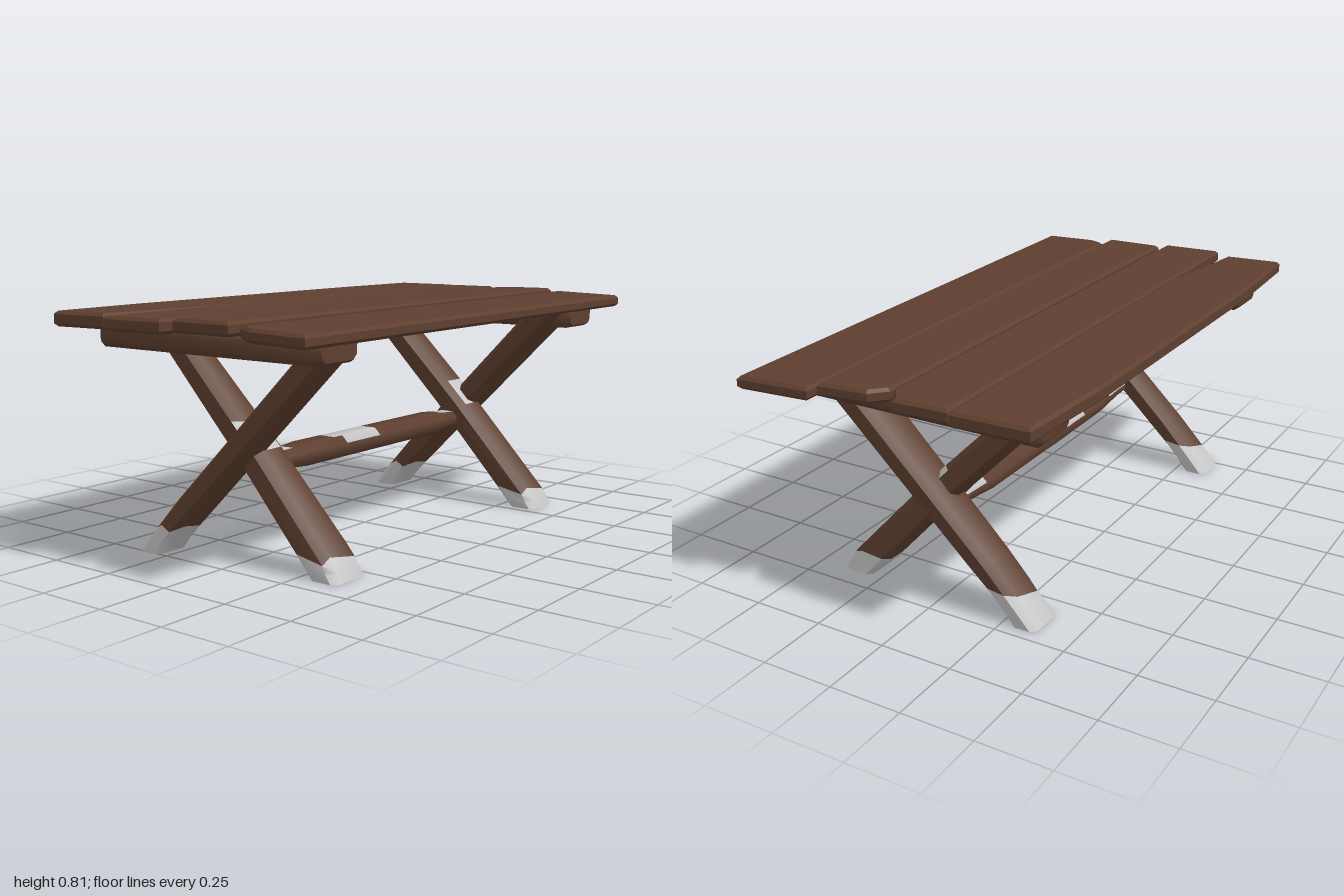
import * as THREE from 'three';
import { toCreasedNormals } from 'three/addons/utils/BufferGeometryUtils.js';

const wood = new THREE.MeshStandardMaterial({ color: 0x5e3f2f });
wood.name = 'dark wood';
const snow = new THREE.MeshStandardMaterial({ color: 0xc4c4c4 });
snow.name = 'snow grey';

const lerp = THREE.MathUtils.lerp;

// Chamfered rectangle, eight points; side 0 is +u, side 2 +v, side 4 -u, side 6 -v
const octagon = (u0, u1, v0, v1, c) => [
  [u1, v0 + c], [u1, v1 - c], [u1 - c, v1], [u0 + c, v1],
  [u0, v1 - c], [u0, v0 + c], [u0 + c, v0], [u1 - c, v0],
];

// Skin over a list of rings, closed at both ends; isSnow(row, side) picks the colour
function loft(name, rings, isSnow, capSnow = false) {
  const tris = [[], []];
  const n = rings[0].length;
  for (let i = 0; i < rings.length - 1; i++) {
    for (let j = 0; j < n; j++) {
      const k = (j + 1) % n, [a, b] = [rings[i], rings[i + 1]];
      tris[isSnow(i, j) ? 1 : 0].push([a[j], a[k], b[k]], [a[j], b[k], b[j]]);
    }
  }
  const last = rings[rings.length - 1];
  for (let j = 1; j < n - 1; j++) {
    tris[capSnow ? 1 : 0].push([rings[0][0], rings[0][j + 1], rings[0][j]]);
    tris[0].push([last[0], last[j], last[j + 1]]);
  }
  // Turn every face outwards
  const all = [...tris[0], ...tris[1]];
  const volume = all.reduce((s, [a, b, c]) => s + a.dot(b.clone().cross(c)), 0);
  if (volume < 0) all.forEach((t) => t.reverse());
  let geo = new THREE.BufferGeometry().setFromPoints(all.flat());
  geo = toCreasedNormals(geo, 0.85);
  geo.clearGroups();
  geo.addGroup(0, tris[0].length * 3, 0);
  if (tris[1].length) geo.addGroup(tris[0].length * 3, tris[1].length * 3, 1);
  const mesh = new THREE.Mesh(geo, [wood, snow]);
  mesh.name = name;
  return mesh;
}

// Slanted leg from sections [y, zMin, zMax]; x range runs from foot to top
function leg(name, sections, snowRow, footX, topX, patchSides = []) {
  const ragged = [0.012, 0.02, -0.006, 0.01, -0.012, 0.008, -0.015, 0.004];
  const slope = sections[0][1] > 0 ? -0.95 : 0.95;
  const rings = sections.map(([y, z0, z1], i) => {
    const x0 = lerp(footX[0], topX[0], y / 0.75), x1 = lerp(footX[1], topX[1], y / 0.75);
    return octagon(x0, x1, z0, z1, i ? 0.028 : 0.02).map(([x, z], j) => {
      const d = i === snowRow ? ragged[j] : 0;
      return new THREE.Vector3(x, y + d, z + d * slope);
    });
  });
  const patchRow = snowRow + 1;
  return loft(name, rings, (i, j) => i < snowRow || (i === patchRow && patchSides.includes(j)), true);
}

// Table board from an outline of [x, z] points
function plank(name, outline, bottom, thick, tilt) {
  const b = 0.01;
  const shape = new THREE.Shape(outline.map(([x, z]) => new THREE.Vector2(x, -z)));
  const geo = new THREE.ExtrudeGeometry(shape, {
    depth: thick - 2 * b, bevelThickness: b, bevelSize: b, bevelOffset: -b, bevelSegments: 1,
  });
  geo.rotateX(-Math.PI / 2);
  const p = geo.attributes.position;
  const zMid = (outline[0][1] + outline[outline.length - 1][1]) / 2;
  for (let i = 0; i < p.count; i++) {
    p.setY(i, p.getY(i) + bottom + b - (p.getZ(i) - zMid) * tilt);
  }
  geo.computeVertexNormals();
  const mesh = new THREE.Mesh(geo, wood);
  mesh.name = name;
  return mesh;
}

export function createModel() {
  const table = new THREE.Group();
  table.name = 'table';

  // Four uneven boards
  table.add(
    plank('backPlank', [[-0.97, -0.5], [-0.6, -0.52], [0.57, -0.52], [0.94, -0.5], [0.95, -0.24], [-0.55, -0.24], [-0.95, -0.29]], 0.759, 0.05, 0),
    plank('middleBackPlank', [[-1, -0.23], [0.94, -0.23], [0.95, -0.05], [0.89, -0.007], [-0.985, -0.007]], 0.762, 0.047, 0),
    plank('middleFrontPlank', [[-0.95, 0.012], [0.89, 0.003], [0.94, 0.05], [0.963, 0.215], [-0.945, 0.23]], 0.766, 0.045, 0),
    plank('frontPlank', [[-0.915, 0.25], [0.99, 0.232], [1, 0.495], [-0.945, 0.515], [-0.945, 0.31]], 0.755, 0.043, 0.03),
  );

  for (const side of [-1, 1]) {
    const left = side > 0;
    const label = left ? 'left' : 'right';

    // Cross batten under the boards
    const [b0, b1] = left ? [0.64, 0.815] : [-0.83, -0.65];
    const battenRings = [[-0.458, 0.012], [-0.44, 0], [0.45, 0], [0.472, 0.01]].map(([z, inset]) =>
      octagon(b0 + inset, b1 - inset, 0.686 + inset, 0.763, 0.016)
        .map(([x, y]) => new THREE.Vector3(x, y, z)));
    table.add(loft(label + 'Batten', battenRings, () => false));

    // Inner leg: foot in front, top at the back, with a snow patch above the crossing
    table.add(leg(label + 'InnerLeg',
      [[0, 0.29, 0.4], [0.03, 0.255, 0.388], [0.066, 0.225, 0.365], [0.375, -0.055, 0.083],
        [0.46, -0.138, 0], [0.69, -0.36, -0.23], [0.757, -0.41, -0.295]],
      2, left ? [0.53, 0.68] : [-0.675, -0.51], left ? [0.5, 0.64] : [-0.66, -0.545],
      [2, left ? 1 : 3]));

    // Outer leg: foot at the back, top in front
    table.add(leg(label + 'OuterLeg',
      [[0, -0.375, -0.28], [0.04, -0.35, -0.245], [0.095, -0.303, -0.195], [0.19, -0.22, -0.1],
        [0.69, 0.26, 0.395], [0.757, 0.325, 0.45]],
      2, left ? [0.565, 0.71] : [-0.76, -0.62], left ? [0.585, 0.745] : [-0.69, -0.575]));
  }

  // Stretcher between the leg pairs, tapered at the ends, snow along its top
  const stations = [[-0.6, 0.72], [-0.53, 0.75], [-0.45, 0.88], [-0.38, 1], [-0.235, 1], [-0.19, 1],
    [-0.04, 1], [0, 1], [0.38, 1], [0.44, 0.88], [0.53, 0.75], [0.6, 0.72]];
  const stretcherRings = stations.map(([x, s]) =>
    octagon(-0.038 * s, 0.038 * s, -0.055 * s, 0.055 * s, 0.024 * s)
      .map(([y, z]) => new THREE.Vector3(x, 0.317 + y, 0.015 + z)));
  const snowSides = { 0: [0, 1, 7], 1: [0, 7], 4: [0, 7], 5: [0, 1, 7], 6: [0, 1], 9: [0, 7], 10: [0, 1, 7] };
  table.add(loft('stretcher', stretcherRings, (i, j) => (snowSides[i] || []).includes(j)));

  return table;
}
